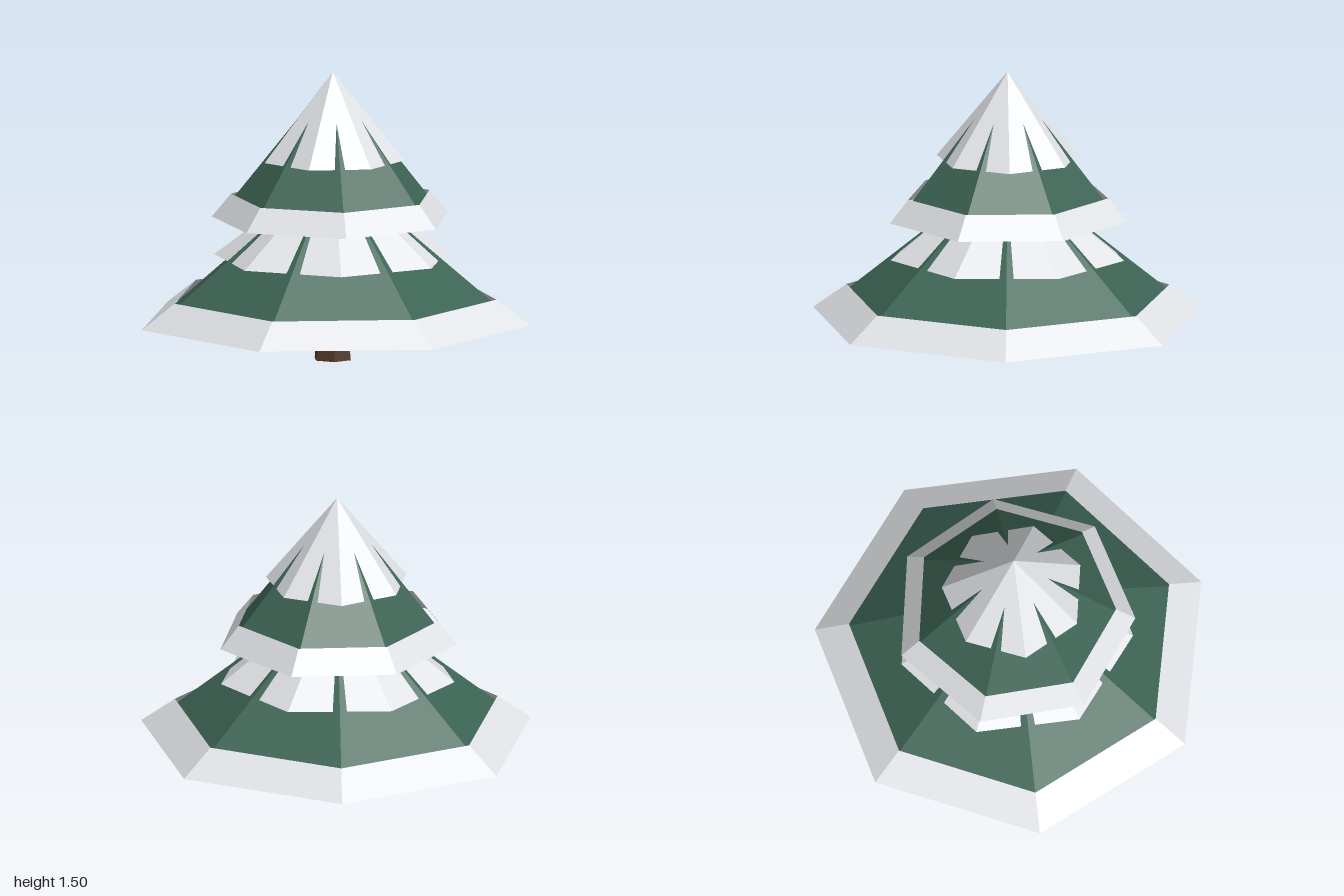
import * as THREE from 'three';

const SIDES = 7;

export function createModel() {
  const needles = new THREE.MeshStandardMaterial({ color: 0x3d6455, flatShading: true });
  needles.name = 'needleGreen';
  const snow = new THREE.MeshStandardMaterial({ color: 0xe4e6ea, flatShading: true, side: THREE.DoubleSide });
  snow.name = 'snowWhite';
  const bark = new THREE.MeshStandardMaterial({ color: 0x543a28, flatShading: true });
  bark.name = 'barkBrown';

  const tree = new THREE.Group();
  tree.name = 'snowyFirTree';

  // faceted cone or frustum between two heights
  function ring(name, parent, material, [rBottom, yBottom], [rTop, yTop], sides, turn, open) {
    const height = yTop - yBottom;
    const geometry = new THREE.CylinderGeometry(rTop, rBottom, height, sides, 1, open, turn);
    const mesh = new THREE.Mesh(geometry, material);
    mesh.name = name;
    mesh.position.y = yBottom + height / 2;
    parent.add(mesh);
  }

  // each tier: closed green cone, snow band on the hem, and a snow cap turned
  // half a step so the green ridges break through it
  const tiers = [
    { name: 'lowerTier', turn: Math.PI / SIDES,
      cone: [[0.973, 0.2], [0, 1.0]],
      band: [[1.026, 0.2], [0.85, 0.33]],
      cap: [[0.615, 0.53], [0, 1.005]] },
    { name: 'upperTier', turn: 0.038,
      cone: [[0.592, 0.73], [0, 1.477]],
      band: [[0.625, 0.73], [0.526, 0.85]],
      cap: [[0.37, 1.04], [0, 1.495]] },
  ];
  for (const { name, turn, cone, band, cap } of tiers) {
    const tier = new THREE.Group();
    tier.name = name;
    ring('branches', tier, needles, ...cone, SIDES, turn, false);
    ring('snowBand', tier, snow, ...band, SIDES, turn, true);
    ring('snowCap', tier, snow, ...cap, SIDES, turn + Math.PI / SIDES, true);
    tree.add(tier);
  }

  // tapered six-sided trunk
  ring('trunk', tree, bark, [0.103, 0], [0.082, 0.21], 6, 0, false);

  // the seven-sided hem is off-centre in depth, so shift the axis
  tree.position.z = 0.05;
  const model = new THREE.Group();
  model.name = 'model';
  model.add(tree);
  return model;
}
